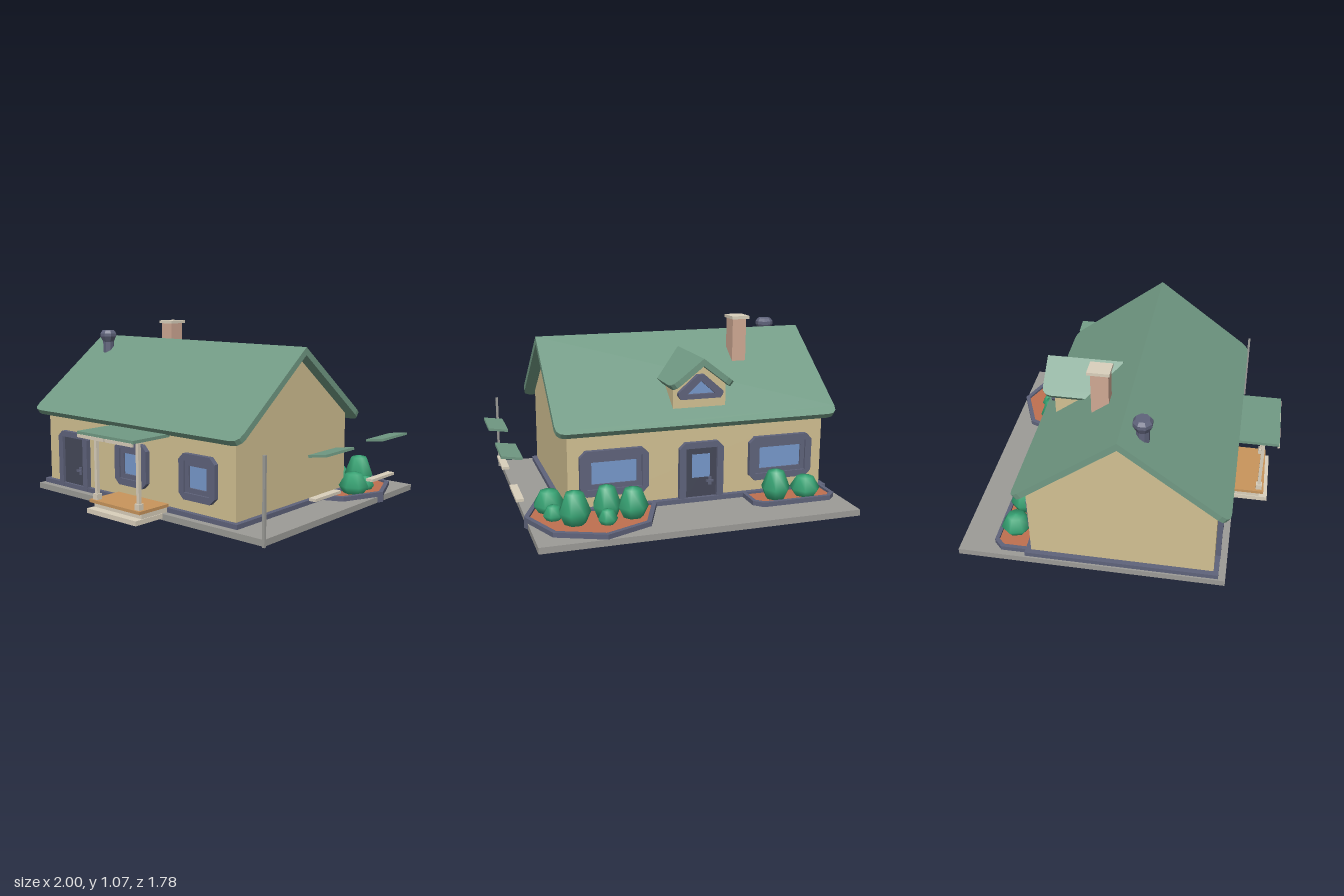
import * as THREE from 'three';

const mat = (color) => new THREE.MeshStandardMaterial({ color, roughness: 0.9 });
const M = {
  wall: mat(0xd2c092), roof: mat(0x719a84), trim: mat(0x5f637b), door: mat(0x454858),
  glass: mat(0x7799cc), cream: mat(0xdad0bc), brick: mat(0xd0a994), wood: mat(0xc8955c),
  soil: mat(0xbf7050), bush: mat(0x36a273), slab: mat(0x9c9b97),
};

function add(parent, name, geo, material, x = 0, y = 0, z = 0) {
  const m = new THREE.Mesh(geo, material);
  m.name = name;
  m.position.set(x, y, z);
  parent.add(m);
  return m;
}

// Box given by its limits on each axis
function box(parent, name, material, [x0, x1], [y0, y1], [z0, z1]) {
  return add(parent, name, new THREE.BoxGeometry(x1 - x0, y1 - y0, z1 - z0), material,
    (x0 + x1) / 2, (y0 + y1) / 2, (z0 + z1) / 2);
}

const poly = (pts) => new THREE.Shape(pts.map(([x, y]) => new THREE.Vector2(x, y)));

function extrude(pts, depth, hole) {
  const shape = poly(pts);
  if (hole) shape.holes.push(poly(hole));
  return new THREE.ExtrudeGeometry(shape, { depth, bevelEnabled: false });
}

// Rectangle about the origin with cut corners
function cutRect(w, h, c) {
  const a = w / 2, b = h / 2;
  return [[-a + c, -b], [a - c, -b], [a, -b + c], [a, b - c], [a - c, b], [-a + c, b], [-a, b - c], [-a, -b + c]];
}

// Two sloping panels with rounded eave corners; ridge along local x
function gableRoof(name, length, run, rise, thick, r) {
  const g = new THREE.Group();
  g.name = name;
  const slope = Math.hypot(run, rise), a = length / 2;
  const s = new THREE.Shape();
  s.moveTo(-a, 0);
  s.lineTo(a, 0);
  s.lineTo(a, slope - r);
  s.quadraticCurveTo(a, slope, a - r, slope);
  s.lineTo(-a + r, slope);
  s.quadraticCurveTo(-a, slope, -a, slope - r);
  const geo = new THREE.ExtrudeGeometry(s, { depth: thick, bevelEnabled: false, curveSegments: 3 });
  const down = new THREE.Vector3(0, -rise, run).normalize(), along = new THREE.Vector3(1, 0, 0);
  geo.applyMatrix4(new THREE.Matrix4().makeBasis(along, down, along.clone().cross(down)));
  for (const turn of [0, Math.PI]) add(g, 'roofPanel', geo, M.roof).rotation.y = turn;
  return g;
}

// Window standing on the local z = 0 plane, facing +z
function windowUnit(w, h) {
  const g = new THREE.Group();
  g.name = 'window';
  add(g, 'windowFrame', extrude(cutRect(w, h, 0.035), 0.03, cutRect(w - 0.08, h - 0.08, 0)), M.trim);
  add(g, 'sash', extrude(cutRect(w - 0.08, h - 0.08, 0), 0.018, cutRect(w - 0.135, h - 0.135, 0)), M.trim);
  add(g, 'glass', new THREE.BoxGeometry(w - 0.13, h - 0.13, 0.01), M.glass, 0, 0, 0.003);
  return g;
}

// Door with its sill at local y = 0, facing +z
function doorUnit(glazed) {
  const g = new THREE.Group();
  g.name = 'door';
  add(g, 'doorFrame', extrude([[-0.135, 0], [-0.095, 0], [-0.095, 0.32], [0.095, 0.32], [0.095, 0],
    [0.135, 0], [0.135, 0.32], [0.1, 0.355], [-0.1, 0.355], [-0.135, 0.32]], 0.03), M.trim);
  box(g, 'doorPanel', M.door, [-0.095, 0.095], [0, 0.32], [-0.01, 0.012]);
  if (glazed) box(g, 'doorGlass', M.glass, [-0.055, 0.055], [0.14, 0.28], [0, 0.015]);
  box(g, 'handlePlate', M.trim, [0.045, 0.065], [0.09, 0.14], [0.01, 0.018]);
  box(g, 'handle', M.trim, [0.03, 0.075], [0.11, 0.122], [0.016, 0.028]);
  return g;
}

// Planting bed: raised border with soil inside
function bed(parent, name, outer, inner, x, z) {
  const g = new THREE.Group();
  g.name = name;
  g.position.set(x, 0, z);
  add(g, 'bedBorder', extrude(outer, 0.063, inner).rotateX(-Math.PI / 2), M.trim);
  add(g, 'soil', extrude(inner, 0.05).rotateX(-Math.PI / 2), M.soil);
  parent.add(g);
}

function bush(parent, x, z, r, top, i) {
  const y0 = 0.045, h = top - y0;
  const profile = [[0, 0], [0.65, 0], [1, 0.38], [0.55, 0.93], [0, 1]].map(([a, b]) => new THREE.Vector2(a * r, b * h));
  add(parent, 'bush', new THREE.LatheGeometry(profile, 7), M.bush, x, y0, z).rotation.y = i * 0.9;
}

export function createModel() {
  const house = new THREE.Group();
  house.name = 'house';
  const place = (obj, x, y, z, turn = 0) => {
    obj.position.set(x, y, z);
    obj.rotation.y = turn;
    house.add(obj);
  };

  // Ground slab, plinth and walls
  box(house, 'groundSlab', M.slab, [-0.97, 0.87], [0, 0.036], [-0.89, 0.645]);
  box(house, 'plinth', M.trim, [-0.96, 0.66], [0.01, 0.063], [-0.5, 0.605]);
  const walls = extrude([[-0.467, 0.04], [0.577, 0.04], [0.577, 0.535], [0.055, 0.93], [-0.467, 0.535]], 1.56);
  add(house, 'walls', walls.rotateY(-Math.PI / 2), M.wall, 0.63);

  // Main roof
  place(gableRoof('mainRoof', 1.7, 0.595, 0.45, 0.036, 0.06), -0.15, 0.965, 0.055);

  // Dormer at the back
  const dormerWall = [[-0.16, 0.52], [0.16, 0.52], [0.16, 0.725], [0, 0.85], [-0.16, 0.725]];
  add(house, 'dormerWall', extrude(dormerWall, 0.26), M.wall, -0.155, 0, -0.44);
  place(gableRoof('dormerRoof', 0.45, 0.195, 0.15, 0.034, 0.055), -0.155, 0.884, -0.285, Math.PI / 2);
  const tri = [[-0.12, 0], [0.12, 0], [0.135, 0.02], [0.135, 0.04], [0.02, 0.14], [-0.02, 0.14], [-0.135, 0.04], [-0.135, 0.02]];
  const triHole = [[-0.085, 0.028], [0.085, 0.028], [0, 0.104]];
  const dormerWindow = new THREE.Group();
  dormerWindow.name = 'dormerWindow';
  add(dormerWindow, 'dormerFrame', extrude(tri, 0.028, triHole), M.trim);
  add(dormerWindow, 'dormerGlass', extrude(triHole, 0.008), M.glass);
  place(dormerWindow, -0.155, 0.645, -0.44, Math.PI);

  // Chimney and stove pipe
  box(house, 'chimney', M.brick, [-0.552, -0.465], [0.75, 1.055], [-0.17, -0.07]);
  box(house, 'chimneyCap', M.cream, [-0.565, -0.455], [1.052, 1.07], [-0.187, -0.06]);
  const pipe = [[0, 0.8], [0.037, 0.8], [0.037, 0.93], [0.055, 0.965], [0.055, 0.985], [0.04, 1.005], [0, 1.005]];
  const pipeGeo = new THREE.LatheGeometry(pipe.map(([r, y]) => new THREE.Vector2(r, y)), 8);
  const pipeMat = M.trim.clone();
  pipeMat.flatShading = true;
  add(house, 'stovePipe', pipeGeo, pipeMat, -0.825, 0, 0.16).rotation.y = Math.PI / 8;

  // Doors and windows, front then back
  place(doorUnit(false), -0.675, 0.04, 0.577);
  for (const x of [-0.152, 0.372]) place(windowUnit(0.265, 0.26), x, 0.265, 0.577);
  place(doorUnit(true), -0.155, 0.04, -0.467, Math.PI);
  for (const x of [0.365, -0.655]) place(windowUnit(0.4, 0.265), x, 0.263, -0.467, Math.PI);

  // Front porch
  const porch = new THREE.Group();
  porch.name = 'porch';
  house.add(porch);
  box(porch, 'porchRoof', M.roof, [-0.285, 0.175], [0.472, 0.49], [0.61, 0.885]);
  box(porch, 'porchBeam', M.cream, [-0.26, 0.15], [0.46, 0.473], [0.78, 0.8]);
  for (const [a, b] of [[-0.28, -0.06], [-0.045, 0.17]]) box(porch, 'gutter', M.cream, [a, b], [0.455, 0.474], [0.875, 0.888]);
  box(porch, 'deck', M.wood, [-0.26, 0.155], [0.068, 0.086], [0.6, 0.825]);
  box(porch, 'upperStep', M.cream, [-0.25, 0.145], [0.036, 0.068], [0.6, 0.8]);
  box(porch, 'lowerStep', M.cream, [-0.255, 0.15], [0.01, 0.038], [0.645, 0.85]);
  for (const x of [-0.225, 0.12]) {
    box(porch, 'column', M.cream, [x - 0.01, x + 0.01], [0.086, 0.465], [0.785, 0.805]);
    box(porch, 'columnBase', M.cream, [x - 0.018, x + 0.018], [0.086, 0.12], [0.777, 0.813]);
  }

  // Detached awnings, shelves and corner post on the left side
  for (const [z0, z1] of [[0.02, 0.292], [-0.568, -0.292]]) {
    box(house, 'awning', M.roof, [0.886, 1.0], [0.413, 0.427], [z0, z1]).rotation.z = 0.15;
    box(house, 'shelf', M.cream, [0.887, 0.93], [0.168, 0.184], [z0 + 0.012, z1 - 0.012]);
  }
  box(house, 'cornerPost', M.slab, [0.869, 0.884], [0, 0.475], [0.645, 0.66]);

  // Planting beds and bushes
  const ring = (r) => Array.from({ length: 8 }, (_, i) => [r * Math.cos(i * Math.PI / 4), r * Math.sin(i * Math.PI / 4)]);
  bed(house, 'largeBed', ring(0.38), ring(0.352), 0.505, -0.51);
  bed(house, 'smallBed', cutRect(0.52, 0.29, 0.05), cutRect(0.475, 0.245, 0.04), -0.675, -0.55);
  [[0.3, -0.635, 0.087, 0.22], [0.46, -0.7, 0.056, 0.13], [0.44, -0.6, 0.082, 0.235], [0.63, -0.645, 0.09, 0.235],
    [0.73, -0.555, 0.06, 0.13], [0.73, -0.425, 0.092, 0.178], [-0.77, -0.595, 0.09, 0.17], [-0.58, -0.595, 0.085, 0.225]]
    .forEach(([x, z, r, top], i) => bush(house, x, z, r, top, i));

  return house;
}
